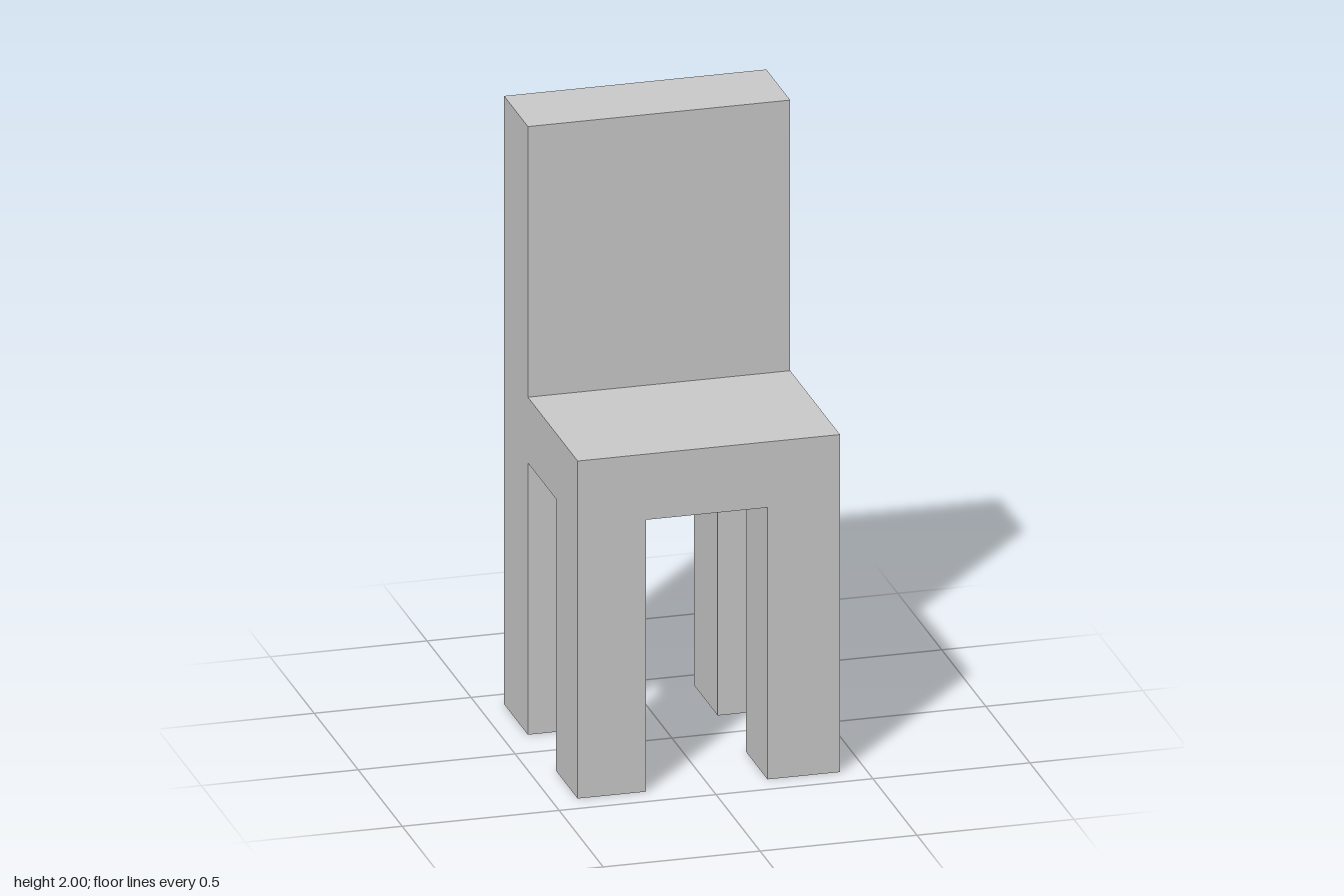
import * as THREE from 'three';

const material = new THREE.MeshStandardMaterial({ color: 0xcccccc, flatShading: true });

// Box given by its extents along each axis
function block(name, [x0, x1], [y0, y1], [z0, z1]) {
  const mesh = new THREE.Mesh(new THREE.BoxGeometry(x1 - x0, y1 - y0, z1 - z0), material);
  mesh.position.set((x0 + x1) / 2, (y0 + y1) / 2, (z0 + z1) / 2);
  mesh.name = name;
  return mesh;
}

export function createModel() {
  const chair = new THREE.Group();
  chair.name = 'chair';

  const half = 0.418;      // half of the width and depth
  const legTop = 0.894;    // underside of the seat
  const seatTop = 1.11;
  const backFront = -0.147; // front face of the backrest

  // Seat and backrest
  chair.add(block('seat', [-half, half], [legTop, seatTop], [backFront, half]));
  chair.add(block('backrest', [-half, half], [legTop, 2], [-half, backFront]));

  // Four legs
  const sides = { Right: [-half, -0.2], Left: [0.187, half] };
  const rows = { front: [0.175, half], back: [-half, backFront] };
  for (const [row, z] of Object.entries(rows)) {
    for (const [side, x] of Object.entries(sides)) {
      chair.add(block(`${row}${side}Leg`, x, [0, legTop], z));
    }
  }
  return chair;
}
